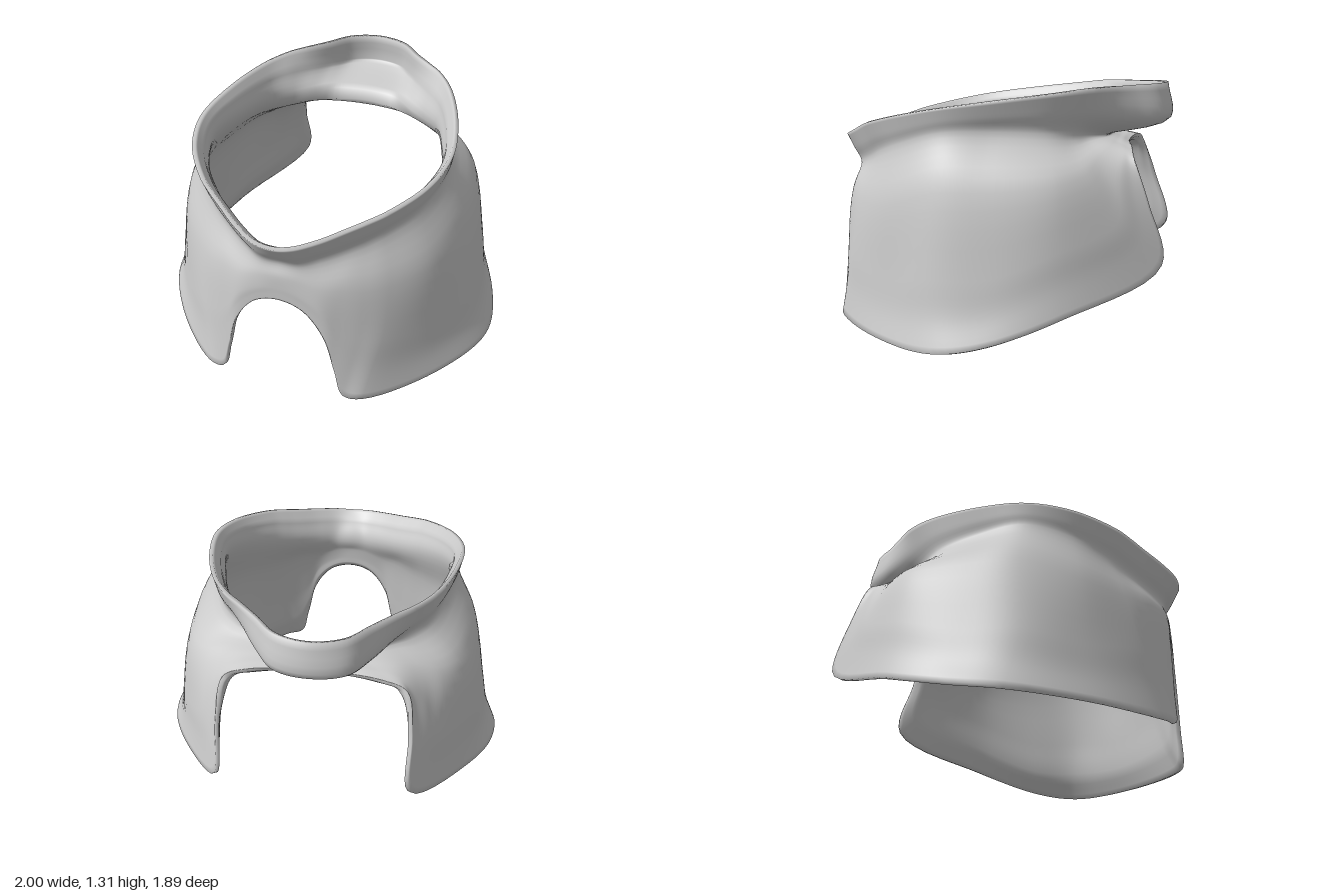
import * as THREE from 'three';

const COLS = 196, ROWS = 32, THICK = 0.045;

// Half cross-sections, front centre to back centre by way of +x: [x, y, z]
const rim = [[0, .98, .94], [.1, .99, .925], [.22, 1.015, .86], [.34, 1.05, .77], [.42, 1.075, .71],
  [.5, 1.1, .64], [.64, 1.15, .44], [.705, 1.195, .2], [.67, 1.235, -.1], [.57, 1.272, -.4],
  [.47, 1.29, -.56], [.39, 1.298, -.64], [.29, 1.303, -.74], [.17, 1.308, -.87], [0, 1.31, -.92]];
const neck = [[0, .83, .845], [.1, .83, .84], [.2, .85, .79], [.32, .88, .71], [.4, .905, .65],
  [.48, .94, .58], [.61, 1.0, .42], [.685, 1.07, .18], [.64, 1.075, -.08], [.545, 1.06, -.35],
  [.445, 1.045, -.46], [.36, 1.04, -.52], [.28, 1.035, -.57], [.18, 1.03, -.61], [0, 1.03, -.63]];
const shoulder = [[0, .76, .865], [.1, .75, .86], [.22, .72, .84], [.33, .72, .79], [.42, .7, .74],
  [.52, .7, .66], [.7, .73, .46], [.79, .83, .18], [.79, .84, -.08], [.725, .86, -.4],
  [.62, .9, -.54], [.5, .96, -.59], [.38, 1.0, -.64], [.22, 1.01, -.655], [0, 1.01, -.66]];
const body = [[0, .69, .87], [.1, .67, .87], [.22, .6, .865], [.32, .45, .84], [.41, .4, .8],
  [.52, .38, .73], [.74, .33, .48], [.88, .38, .2], [.885, .4, -.1], [.8, .52, -.42],
  [.62, .65, -.7], [.54, .85, -.7], [.43, .97, -.71], [.28, 1.0, -.7], [0, 1.0, -.69]];
const hem = [[0, .61, .87], [.13, .57, .87], [.24, .42, .87], [.3, .2, .87], [.35, .03, .87],
  [.45, .01, .84], [.78, .01, .52], [.99, .03, .15], [.98, .08, -.12], [.83, .2, -.48],
  [.51, .41, -.93], [.495, .72, -.855], [.46, .94, -.775], [.34, .985, -.755], [0, .985, -.72]];

// Collar belly: midway from rim to neck, swelling into a pouch at the back
const collar = rim.map((p, k) => {
  const w = THREE.MathUtils.smoothstep(k, 9.5, 13.5);
  const [x, y, z] = p.map((v, c) => (v + neck[k][c]) / 2);
  return [x, y - .055 * w, z - .165 * w];
});

// Flare: the side walls kick outward just above the hem
const flare = body.map((p, k) => {
  const w = THREE.MathUtils.smoothstep(k, 4, 7) * (1 - THREE.MathUtils.smoothstep(k, 8, 10));
  const [x, y, z] = p.map((v, c) => (v + hem[k][c]) / 2);
  return [x - .012 * w, y - .02 * w, z];
});

// Mirror a half section into a closed smooth ring
function ring(half) {
  const left = half.map(p => new THREE.Vector3(...p));
  const right = left.slice(1, -1).reverse().map(p => new THREE.Vector3(-p.x, p.y, p.z));
  return new THREE.CatmullRomCurve3([...left, ...right], true, 'centripetal');
}

// Grid of points wrapped around the columns, optionally closed along the rows too
function gridGeometry(points, perCol, closed) {
  const index = [], last = closed ? perCol : perCol - 1;
  for (let i = 0; i < COLS; i++) {
    for (let j = 0; j < last; j++) {
      const i2 = (i + 1) % COLS, j2 = (j + 1) % perCol;
      const a = i * perCol + j, b = i * perCol + j2;
      const c = i2 * perCol + j2, d = i2 * perCol + j;
      index.push(a, b, c, a, c, d);
    }
  }
  const geometry = new THREE.BufferGeometry().setFromPoints(points);
  geometry.setIndex(index);
  geometry.computeVertexNormals();
  return geometry;
}

function shellGeometry() {
  // Outer skin: a smooth column through every ring
  const rings = [rim, collar, neck, shoulder, body, flare, hem].map(ring);
  const outer = [];
  for (let i = 0; i < COLS; i++) {
    const column = new THREE.CatmullRomCurve3(rings.map(r => r.getPoint(i / COLS)), false, 'centripetal');
    outer.push(...column.getPoints(ROWS - 1));
  }
  const normals = gridGeometry(outer, ROWS, false).attributes.normal;

  // Add the inner skin, thinner toward both edges, with a rounded lip
  const points = [], n = new THREE.Vector3();
  for (let i = 0; i < COLS; i++) {
    const inner = [];
    for (let j = 0; j < ROWS; j++) {
      const k = i * ROWS + j;
      const edge = Math.min(1, Math.min(j, ROWS - 1 - j) / 4);
      n.fromBufferAttribute(normals, k);
      inner.unshift(outer[k].clone().addScaledVector(n, -THICK * (.45 + .55 * edge)));
    }
    points.push(...outer.slice(i * ROWS, (i + 1) * ROWS), ...inner);
  }
  const geometry = gridGeometry(points, ROWS * 2, true);
  geometry.computeBoundingBox();
  return geometry.translate(0, -geometry.boundingBox.min.y, 0);
}

export function createModel() {
  const group = new THREE.Group();
  const material = new THREE.MeshStandardMaterial({ color: 0xcccccc, side: THREE.DoubleSide });
  const shell = new THREE.Mesh(shellGeometry(), material);
  shell.name = 'collaredShell';
  group.add(shell);
  return group;
}
